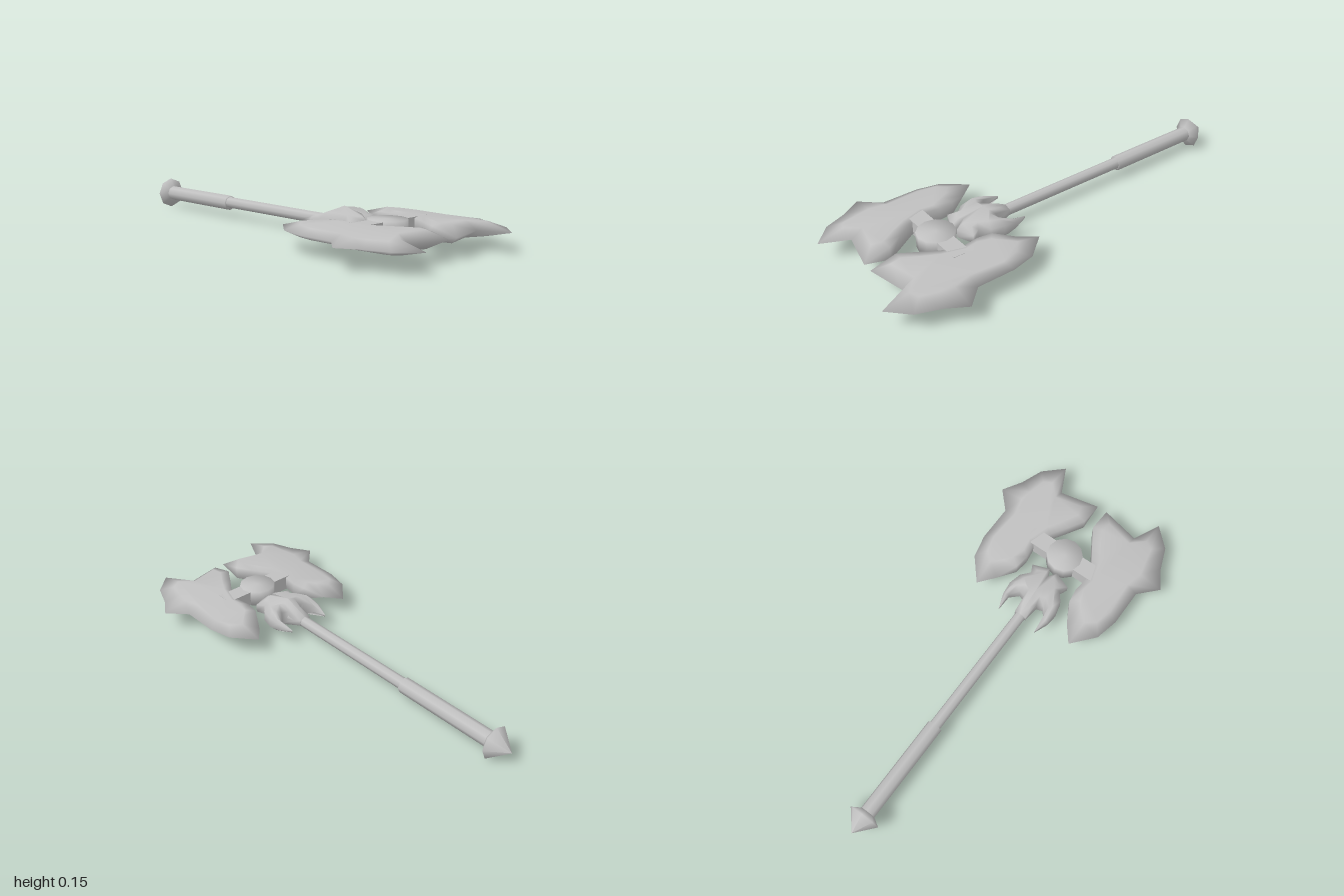
import * as THREE from 'three';
import { mergeVertices } from 'three/addons/utils/BufferGeometryUtils.js';

const steel = new THREE.MeshStandardMaterial({ color: 0xc0c0c0 });
steel.name = 'steel grey';

function part(name, geometry, x = 0, y = 0, z = 0) {
  const mesh = new THREE.Mesh(geometry, steel);
  mesh.name = name;
  mesh.position.set(x, y, z);
  return mesh;
}

// Smooth turned shape from [height, radius] pairs
const turned = (profile, sides) =>
  new THREE.LatheGeometry(profile.map(([h, r]) => new THREE.Vector2(r, h)), sides);

// Turned shape laid along x
const rod = profile => turned(profile, 8).rotateZ(-Math.PI / 2);

// Smooth bevelled plate lying flat: rows are [rimX, rimZ, innerX, innerZ]
function bevelPlate(rows, rimHeight, innerHeight) {
  const area = THREE.ShapeUtils.area(rows.map(r => new THREE.Vector2(r[0], r[1])));
  const loop = area < 0 ? [...rows].reverse() : rows;
  const n = loop.length, pos = [], idx = [];
  const cap = THREE.ShapeUtils.triangulateShape(loop.map(r => new THREE.Vector2(r[2], r[3])), []);
  for (const s of [1, -1]) {
    const base = pos.length / 3;
    const tri = (a, b, c) => s > 0 ? idx.push(base + a, base + c, base + b) : idx.push(base + a, base + b, base + c);
    for (const [x, z] of loop) pos.push(x, s * rimHeight(x, z), z);
    for (const [, , x, z] of loop) pos.push(x, s * innerHeight(x, z), z);
    for (let i = 0; i < n; i++) {
      const j = (i + 1) % n;
      tri(i, j, n + j);
      tri(i, n + j, n + i);
    }
    for (const [a, b, c] of cap) tri(n + a, n + b, n + c);
  }
  // Side wall, left open along the centre line where two halves meet
  for (let i = 0; i < n; i++) {
    const j = (i + 1) % n;
    if (loop[i][1] === 0 && loop[j][1] === 0) continue;
    idx.push(i, j, j + 2 * n, i, j + 2 * n, i + 2 * n);
  }
  const g = new THREE.BufferGeometry();
  g.setAttribute('position', new THREE.Float32BufferAttribute(pos, 3));
  g.setIndex(idx);
  const welded = mergeVertices(g);
  welded.computeVertexNormals();
  return welded;
}

const mirrorZ = rows => rows.map(([a, b, c, d]) => [a, -b, c, -d]);

const bladeRows = [
  [.245, .26, .36, .265], [.35, .35, .40, .31], [.46, .375, .48, .33],
  [.635, .375, .64, .32], [.72, .455, .72, .34], [.81, .40, .78, .33],
  [.915, .36, .86, .31], [1, .27, .88, .27], [.875, .21, .82, .21],
  [.915, .025, .85, .08], [.795, .025, .80, .07], [.72, .07, .73, .11],
  [.64, .12, .66, .15], [.55, .15, .56, .18], [.48, .14, .50, .17],
  [.41, .15, .44, .19], [.32, .20, .40, .22],
];

// Half of the forked collar: swept-back horn, pointed front, ridge on the centre line
const collarRows = [
  [.23, 0, .23, 0], [.23, .03, .28, .02], [.31, .035, .34, .03], [.32, .065, .35, .055],
  [.28, .10, .33, .09], [.20, .10, .27, .112], [.27, .125, .30, .115],
  [.33, .13, .34, .105], [.39, .115, .38, .085], [.43, .08, .42, .06],
  [.47, .10, .45, .06], [.50, .02, .47, .02], [.45, 0, .45, 0], [.35, 0, .35, 0],
];

export function createModel() {
  const axe = new THREE.Group();
  axe.name = 'battleAxe';

  // Pommel, grip and shaft
  axe.add(part('pommel', rod([[-1, 0], [-.915, .075], [-.89, .034]]), 0, .08));
  axe.add(part('grip', rod([[-.9, .036], [-.42, .036], [-.42, .02]]), 0, .08));
  axe.add(part('shaft', rod([[-.43, .027], [.23, .026], [.34, .045]]), 0, .082));

  // Forked collar, tallest around its middle
  const lerp = THREE.MathUtils.mapLinear;
  const collarHeight = (x, z) => {
    const h = x < .35 ? lerp(x, .2, .35, .012, .068) : lerp(x, .35, .5, .068, .034);
    return h * (1 - 2.5 * Math.abs(z));
  };
  const collarRim = (x, z) => collarHeight(x, z) * (z === 0 ? 1 : .6);
  axe.add(part('collarLeft', bevelPlate(collarRows, collarRim, collarHeight), 0, .087));
  axe.add(part('collarRight', bevelPlate(mirrorZ(collarRows), collarRim, collarHeight), 0, .087));

  // Hub disc and the bars that hold the blades
  const hub = turned([[-.0375, 0], [-.0375, .085], [.0375, .085], [.0375, 0]], 12);
  axe.add(part('hub', hub, .59, .0925));
  axe.add(part('bladeBar', new THREE.BoxGeometry(.08, .07, .4), .59, .0925));

  // Twin blades, thick near the hub and sharp outside
  const bladeHeight = (x, z) => lerp(THREE.MathUtils.clamp(Math.abs(z), .2, .34), .2, .34, .0375, .022);
  const bladeRim = (x, z) => Math.abs(z) < .16 && x < .85 ? .03 : 0;
  axe.add(part('bladeLeft', bevelPlate(bladeRows, bladeRim, bladeHeight), 0, .0925));
  axe.add(part('bladeRight', bevelPlate(mirrorZ(bladeRows), bladeRim, bladeHeight), 0, .0925));
  return axe;
}
